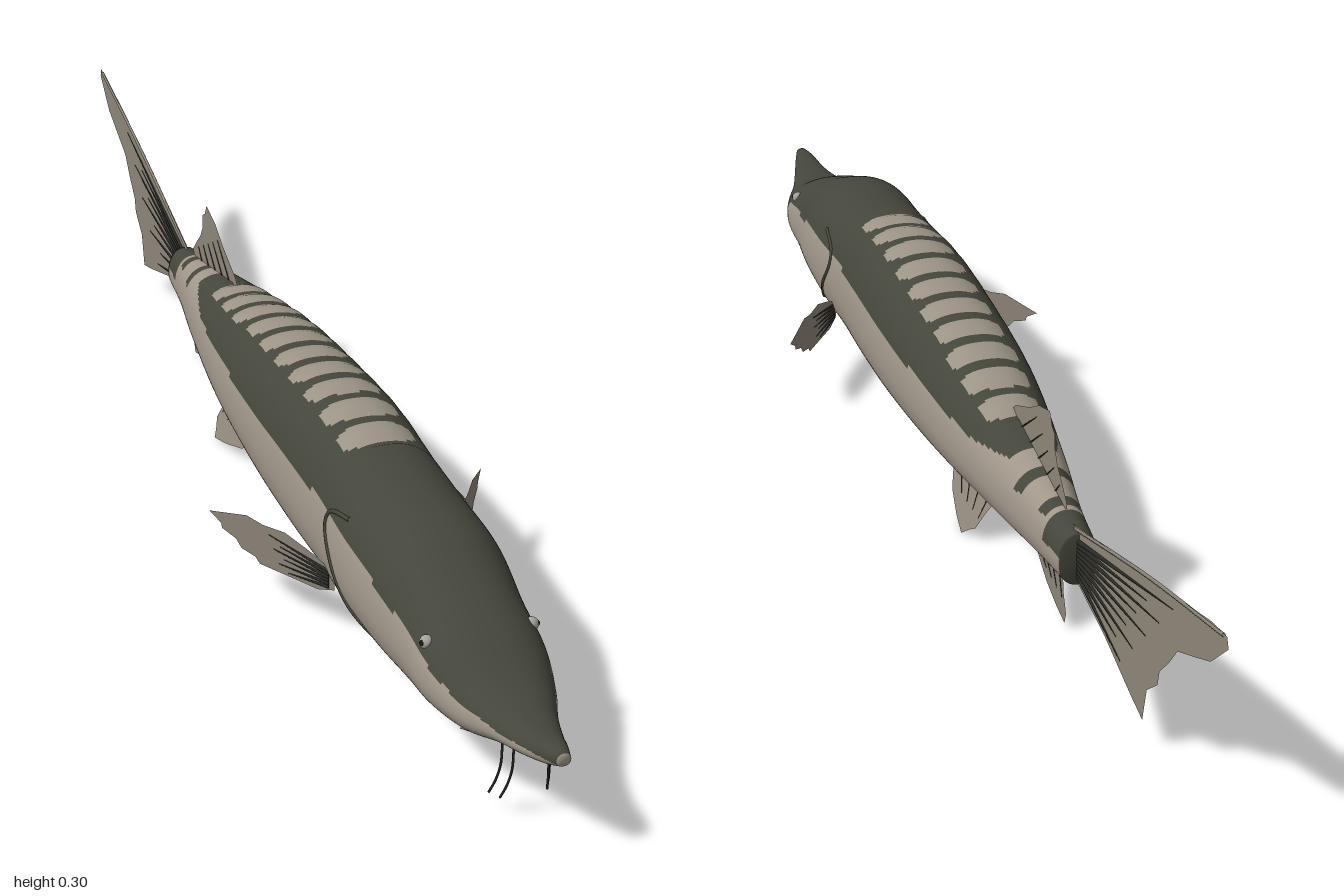
import * as THREE from 'three';

const mat = (name, color, side = THREE.FrontSide) => {
  const m = new THREE.MeshStandardMaterial({ color, side });
  m.name = name;
  return m;
};

// Body profile: z, belly y, back y, half width
const PROFILE = [
  [1.0, 0.125, 0.142, 0.009], [0.975, 0.113, 0.143, 0.017], [0.94, 0.102, 0.136, 0.027],
  [0.89, 0.09, 0.137, 0.042], [0.84, 0.073, 0.148, 0.062], [0.77, 0.06, 0.177, 0.08],
  [0.7, 0.05, 0.203, 0.084], [0.61, 0.042, 0.234, 0.093], [0.5, 0.036, 0.243, 0.094],
  [0.4, 0.036, 0.254, 0.092], [0.28, 0.038, 0.264, 0.095], [0.14, 0.044, 0.258, 0.094],
  [-0.07, 0.062, 0.24, 0.084], [-0.29, 0.08, 0.203, 0.056], [-0.42, 0.089, 0.18, 0.035],
  [-0.5, 0.096, 0.168, 0.027],
];
const profile = new THREE.CubicInterpolant(
  PROFILE.map((p) => -p[0]), PROFILE.flatMap((p) => p.slice(1)), 3, new Float32Array(3));

// Lower limit of the dark back along the body
const EDGE = [[1, 0.128], [0.9, 0.116], [0.83, 0.124], [0.74, 0.145], [0.6, 0.172], [0.45, 0.183],
  [0, 0.184], [-0.22, 0.178], [-0.32, 0.19]];
const edge = new THREE.LinearInterpolant(EDGE.map((p) => -p[0]), EDGE.map((p) => p[1]), 1, new Float32Array(1));

const SCUTE_FIRST = 0.38, SCUTE_STEP = 0.0655, SCUTES = 10;

// Point on the skin at length z and angle a (0 = left side, PI/2 = back)
function skin(z, a, grow = 0) {
  const [bot, top, hw] = profile.evaluate(-z);
  const c = Math.cos(a), s = Math.sin(a);
  const mid = bot + (top - bot) * 0.46;
  const along = (SCUTE_FIRST - z) / SCUTE_STEP;
  const onBack = along > -0.5 && along < SCUTES - 0.5;
  const bump = onBack && s > 0 ? 0.0025 * s ** 4 * Math.cos(along * Math.PI * 2) : 0;
  return new THREE.Vector3(
    Math.sign(c) * Math.abs(c) ** 0.88 * (hw + grow),
    mid + Math.sign(s) * Math.abs(s) ** 0.92 * ((s > 0 ? top - mid : mid - bot) + grow) + bump, z);
}

// 0 = pale belly, 1 = dark back, 2 = back plate
function skinColour(p) {
  if (p.z < -0.445) return p.y > 0.138 ? 1 : 0;
  if (p.z < -0.31) return p.y > 0.165 && Math.abs(((-p.z - 0.31) / 0.065) % 1 - 0.8) < 0.15 ? 1 : 0;
  const along = (SCUTE_FIRST - p.z) / SCUTE_STEP, k = Math.round(along);
  if (k >= 0 && k < SCUTES) {
    const halfWidth = Math.min(0.05, profile.evaluate(-p.z)[2] * 0.62);
    const u = Math.abs(along - k) / 0.36, v = Math.abs(p.x) / halfWidth;
    if (p.y > 0.15 && u ** 4 + v ** 4 < 1) return 2;
  }
  return p.y > edge.evaluate(-p.z)[0] ? 1 : 0;
}

function bodyGeometry() {
  const ROWS = 300, COLS = 96, pos = [], faces = [[], [], []];
  for (let i = 0; i <= ROWS; i++)
    for (let j = 0; j < COLS; j++) pos.push(...skin(1 - 1.5 * i / ROWS, j / COLS * Math.PI * 2).toArray());
  const at = (i, j) => i * COLS + j % COLS;
  for (let i = 0; i < ROWS; i++)
    for (let j = 0; j < COLS; j++) {
      const mid = skin(1 - 1.5 * (i + 0.5) / ROWS, (j + 0.5) / COLS * Math.PI * 2);
      faces[skinColour(mid)].push(
        at(i, j), at(i + 1, j), at(i, j + 1), at(i, j + 1), at(i + 1, j), at(i + 1, j + 1));
    }
  // Close the snout and the tail stalk
  const nose = pos.length / 3;
  pos.push(0, 0.133, 1.0, 0, 0.13, -0.5);
  for (let j = 0; j < COLS; j++) {
    faces[0].push(nose, at(0, j), at(0, j + 1));
    faces[1].push(nose + 1, at(ROWS, j + 1), at(ROWS, j));
  }
  const g = new THREE.BufferGeometry();
  g.setAttribute('position', new THREE.Float32BufferAttribute(pos, 3));
  g.setIndex(faces.flat());
  let start = 0;
  faces.forEach((f, k) => { g.addGroup(start, f.length, k); start += f.length; });
  g.computeVertexNormals();
  return g;
}

export function createModel() {
  const model = new THREE.Group();
  model.name = 'fish';
  const pale = mat('pale belly', 0xa0968a), dark = mat('dark back', 0x45463b), plate = mat('back plate', 0x9b9386);
  const finSkin = mat('fin skin', 0x8d8478, THREE.DoubleSide), ray = mat('fin ray', 0x2b2b26);
  const eye = mat('eye', 0xa5a39c), pupil = mat('pupil', 0x1a1a18);

  const add = (parent, name, geometry, material) => {
    const m = new THREE.Mesh(geometry, material);
    m.name = name;
    parent.add(m);
    return m;
  };
  const tube = (points, r, segments = 24) =>
    new THREE.TubeGeometry(new THREE.CatmullRomCurve3(points), segments, r, 6);

  // Thin fin from a flat outline, placed by a mapping, with tapered rays
  function fin(name, outline, place, rays, thick = 0.0025) {
    const g = new THREE.Group();
    g.name = name;
    const geo = new THREE.ShapeGeometry(new THREE.Shape(outline.map((p) => new THREE.Vector2(...p))));
    const p = geo.attributes.position;
    for (let i = 0; i < p.count; i++) p.setXYZ(i, ...place(p.getX(i), p.getY(i)).toArray());
    geo.computeVertexNormals();
    add(g, 'finBlade', geo, finSkin);
    for (const [u0, v0, u1, v1] of rays) {
      const a = place(u0, v0), b = place(u1, v1), d = b.clone().sub(a);
      const m = add(g, 'finRay', new THREE.CylinderGeometry(0.0006, thick, d.length(), 6), ray);
      m.position.copy(a).add(b).multiplyScalar(0.5);
      m.quaternion.setFromUnitVectors(new THREE.Vector3(0, 1, 0), d.normalize());
    }
    model.add(g);
  }
  // Rays fanning between a base line and an outer line
  const fan = (n, base0, base1, out0, out1, uneven = 0) => Array.from({ length: n }, (_, i) => {
    const t = i / (n - 1), mix = (a, b) => [0, 1].map((k) => a[k] + (b[k] - a[k]) * t);
    const b = mix(base0, base1), o = mix(out0, out1), s = 1 - uneven * (i % 2);
    return [...b, b[0] + (o[0] - b[0]) * s, b[1] + (o[1] - b[1]) * s];
  });
  const upright = (u, v) => new THREE.Vector3(0, v, u);

  add(model, 'body', bodyGeometry(), [pale, dark, plate]);

  // Median fins, outlined in z and y
  fin('tailFin', [[-0.47, 0.17], [-0.6, 0.205], [-0.8, 0.257], [-0.95, 0.297], [-0.995, 0.303], [-1, 0.29],
    [-0.95, 0.245], [-0.9, 0.222], [-0.85, 0.2], [-0.825, 0.17], [-0.795, 0.14], [-0.79, 0.118], [-0.755, 0.09],
    [-0.743, 0.04], [-0.7, 0.05], [-0.6, 0.078], [-0.47, 0.1]],
  upright, fan(9, [-0.49, 0.155], [-0.49, 0.11], [-0.83, 0.245], [-0.66, 0.075], 0.2), 0.004);
  add(model, 'tailLeadingEdge', tube([upright(-0.48, 0.168), upright(-0.75, 0.244), upright(-0.985, 0.3)], 0.0025), finSkin);
  fin('dorsalFin', [[-0.2, 0.2], [-0.23, 0.225], [-0.29, 0.25], [-0.33, 0.272], [-0.375, 0.285], [-0.385, 0.268],
    [-0.396, 0.262], [-0.398, 0.24], [-0.41, 0.222], [-0.43, 0.205], [-0.45, 0.185], [-0.44, 0.165], [-0.28, 0.19]],
  upright, fan(5, [-0.25, 0.2], [-0.4, 0.18], [-0.32, 0.25], [-0.42, 0.2]), 0.0015);
  fin('analFin', [[-0.28, 0.09], [-0.32, 0.06], [-0.37, 0.03], [-0.41, 0.016], [-0.447, 0.008], [-0.453, 0.025],
    [-0.442, 0.05], [-0.435, 0.095]],
  upright, fan(4, [-0.32, 0.08], [-0.42, 0.088], [-0.37, 0.05], [-0.435, 0.04]), 0.0015);

  for (const s of [1, -1]) {
    const side = s > 0 ? 'left' : 'right';

    // Pectoral fins, outlined in x and y and swept back
    fin(side + 'PectoralFin', [[0.08, 0.095], [0.1, 0.112], [0.125, 0.127], [0.145, 0.126], [0.16, 0.131],
      [0.175, 0.125], [0.195, 0.117], [0.184, 0.105], [0.183, 0.098], [0.17, 0.09], [0.165, 0.079],
      [0.152, 0.074], [0.148, 0.066], [0.12, 0.064], [0.095, 0.062], [0.08, 0.07]],
    (u, v) => new THREE.Vector3(s * u, v, 0.45 - (u - 0.08) * 1.55),
    fan(6, [0.085, 0.095], [0.085, 0.072], [0.14, 0.115], [0.128, 0.068], 0.15));

    // Pelvic fins, outlined in z and y and splayed outwards
    fin(side + 'PelvicFin', [[0, 0.07], [-0.03, 0.045], [-0.07, 0.022], [-0.12, 0.008], [-0.16, 0],
      [-0.175, 0.012], [-0.188, 0.02], [-0.19, 0.04], [-0.2, 0.075]],
    (u, v) => new THREE.Vector3(s * (0.056 - v * 0.62), v, u),
    fan(4, [-0.04, 0.06], [-0.17, 0.07], [-0.1, 0.03], [-0.18, 0.03]), 0.0015);

    // Gill cover rim
    const rim = [[0.5, 0.62], [0.445, 0.42], [0.44, 0.25], [0.475, -0.1], [0.51, -0.5], [0.56, -0.85], [0.62, -1.15]];
    add(model, side + 'GillRim', tube(rim.map(([z, a]) => skin(z, s > 0 ? a : Math.PI - a)), 0.003, 40), dark);

    // Eye set just inside the skin
    const e = add(model, side + 'Eye', new THREE.SphereGeometry(0.009, 16, 12), eye);
    e.position.copy(skin(0.745, s > 0 ? 0.6 : Math.PI - 0.6, -0.002));
    const p = add(model, side + 'Pupil', new THREE.SphereGeometry(0.004, 12, 8), pupil);
    p.position.copy(e.position).add(new THREE.Vector3(s * 0.006, 0.001, 0.002));

    // Barbels under the snout
    for (const [x, z] of [[0.022, 0.91], [0.03, 0.895]])
      add(model, side + 'Barbel', tube([new THREE.Vector3(s * x, 0.1, z), new THREE.Vector3(s * (x + 0.001), 0.07, z),
        new THREE.Vector3(s * (x + 0.004), 0.045, z - 0.006), new THREE.Vector3(s * (x + 0.008), 0.022, z - 0.016)], 0.0015), ray);
  }

  // Mouth under the head
  const lip = [-2.4, -2.0, -1.57, -1.14, -0.74].map((a) => skin(0.8 + 0.03 * Math.sin(-a), a));
  add(model, 'mouth', tube(lip, 0.003), pale);
  return model;
}
